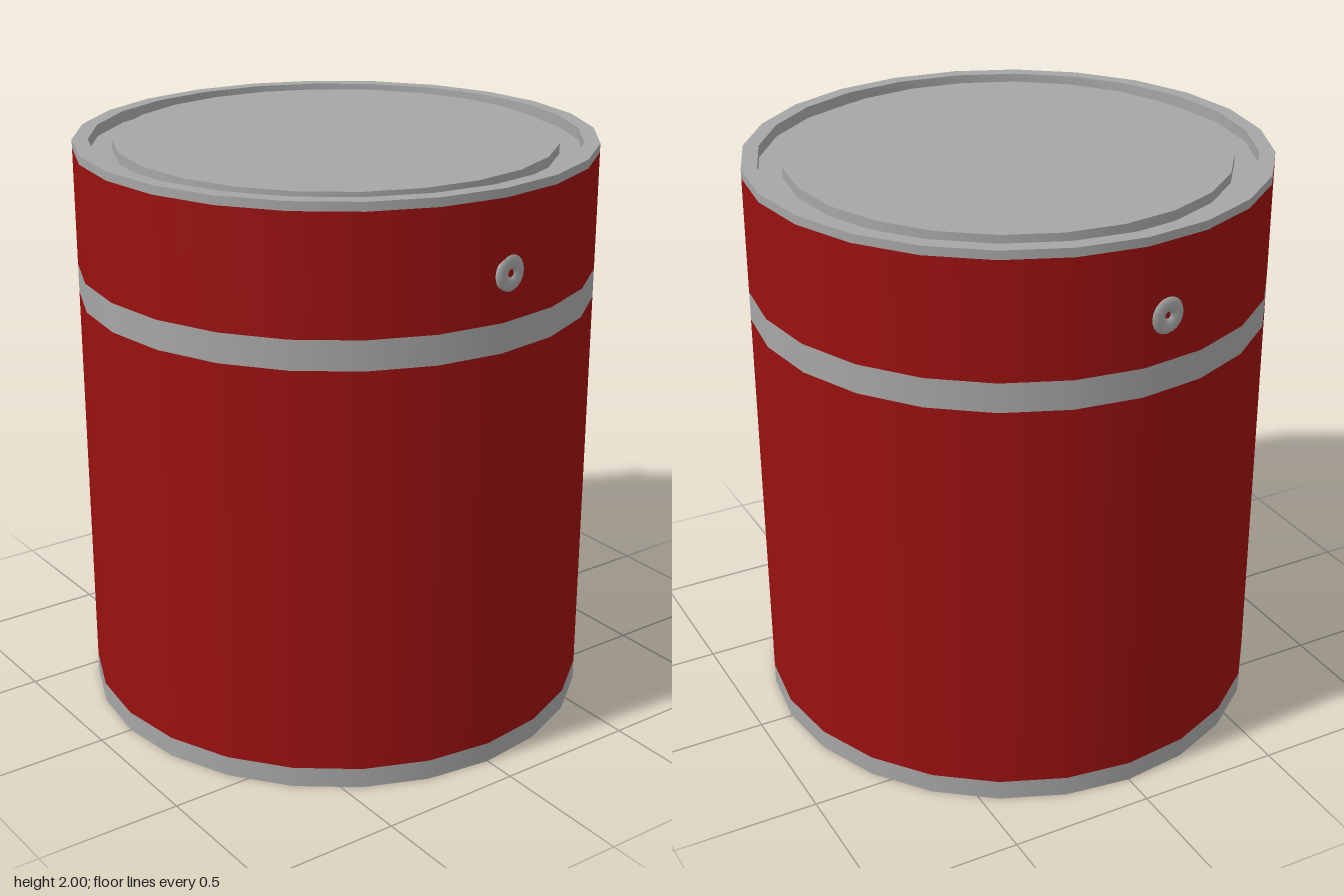
import * as THREE from 'three';

const SIDES = 24;
const R = 0.883;        // body radius
const RIM_INNER = 0.83; // inside of the top rim
const LID_R = 0.75;     // raised centre of the lid
const GROOVE_Y = 1.96;  // floor of the groove around the lid

export function createModel() {
  const red = new THREE.MeshStandardMaterial({ color: 0x9a1010 });
  red.name = 'red paint';
  const metal = new THREE.MeshStandardMaterial({ color: 0xa6a6a6 });
  metal.name = 'grey metal';

  const can = new THREE.Group();
  can.name = 'can';

  const add = (name, geometry, material, x = 0, y = 0, z = 0) => {
    const mesh = new THREE.Mesh(geometry, material);
    mesh.name = name;
    mesh.position.set(x, y, z);
    can.add(mesh);
    return mesh;
  };

  // Open wall of the can between two heights
  const wall = (name, y0, y1, radius, material) =>
    add(name, new THREE.CylinderGeometry(radius, radius, y1 - y0, SIDES, 1, true),
      material, 0, (y0 + y1) / 2, 0);

  // Flat ring or disc facing up, or down when flipped
  const flat = (name, inner, outer, y, flip = false) => {
    const g = inner > 0
      ? new THREE.RingGeometry(inner, outer, SIDES)
      : new THREE.CircleGeometry(outer, SIDES);
    g.rotateX(flip ? Math.PI / 2 : -Math.PI / 2);
    return add(name, g, metal, 0, y, 0);
  };

  // Outer wall, stacked from the base up
  wall('baseBand', 0, 0.07, R, metal);
  wall('lowerBody', 0.07, 1.47, R, red);
  wall('middleBand', 1.47, 1.57, R, metal);
  wall('upperBody', 1.57, 1.97, R, red);
  wall('topBand', 1.97, 2, R, metal);
  flat('base', 0, R, 0, true);

  // Rim, groove and lid
  flat('rimTop', RIM_INNER, R, 2);
  const inside = wall('rimInside', GROOVE_Y, 2, RIM_INNER, metal);
  // turn the wall to face the axis
  const index = inside.geometry.index;
  for (let i = 0; i < index.count; i += 3) {
    const a = index.getX(i);
    index.setX(i, index.getX(i + 1));
    index.setX(i + 1, a);
  }
  inside.geometry.computeVertexNormals();
  flat('grooveFloor', LID_R, RIM_INNER, GROOVE_Y);
  wall('lidSide', GROOVE_Y, 1.995, LID_R, metal);
  flat('lidTop', 0, LID_R, 1.995);

  // Handle eyelets: flattened rings with a tiny hole, one on each side
  for (const [name, side, x, z, tilt] of [
    ['rightEyelet', 1, 0.873, -0.03, 0.13],
    ['leftEyelet', -1, 0.869, 0.085, 0.13],
  ]) {
    const g = new THREE.TorusGeometry(0.036, 0.027, 10, 20);
    g.scale(1, 1, 0.5);
    g.rotateY(side * Math.PI / 2 + tilt);
    add(name, g, metal, side * x, 1.725, z);
  }

  return can;
}
